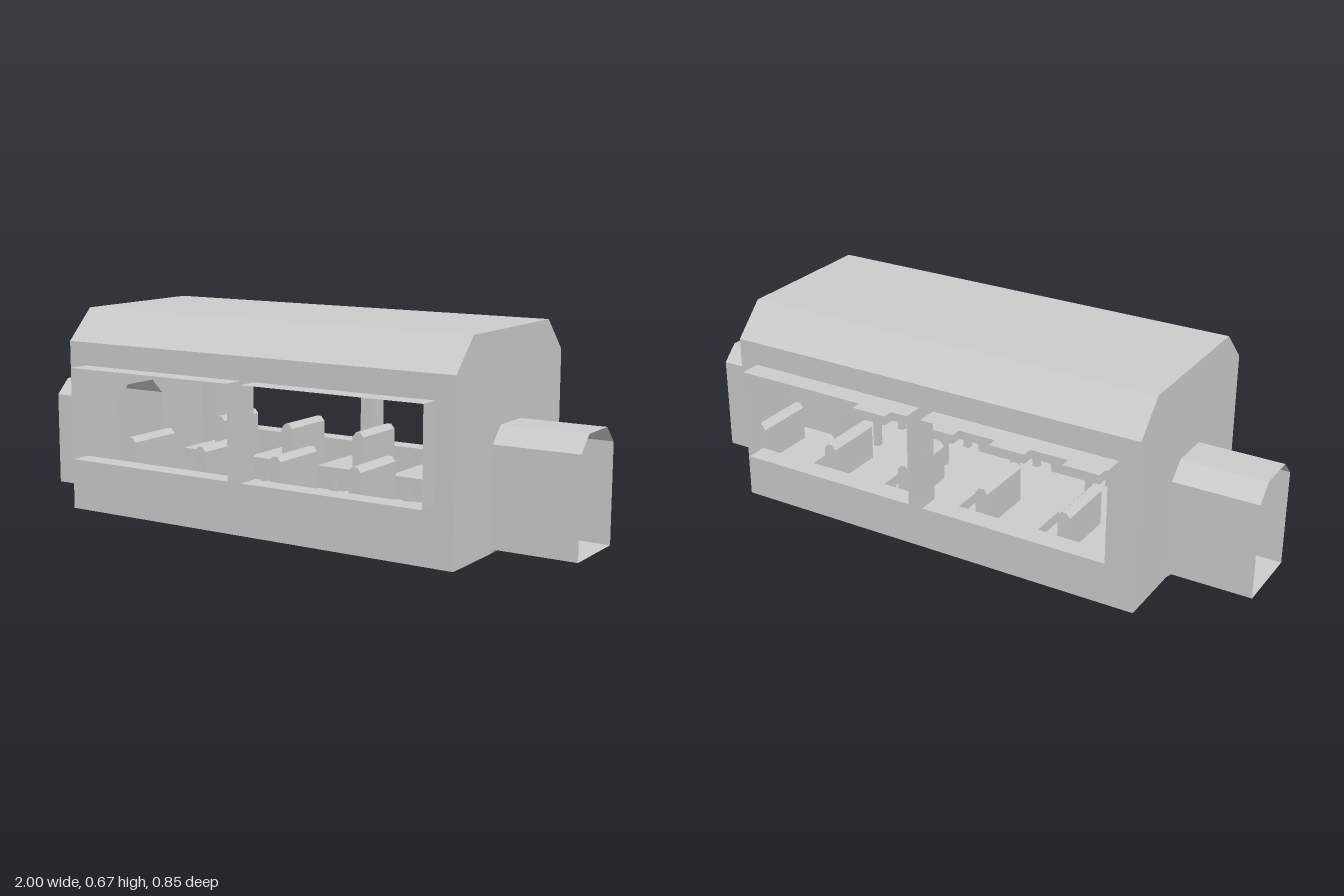
import * as THREE from 'three';

const skin = new THREE.MeshStandardMaterial({ color: 0xcccccc, flatShading: true, side: THREE.DoubleSide });
const solid = new THREE.MeshStandardMaterial({ color: 0xcccccc, flatShading: true });

const LEN = 0.72, HALF = 0.355, EAVE = 0.567, ROOF = 0.67, ROOF_HALF = 0.253;
const WINDOWS = [[-0.655, -0.025], [0.025, 0.655]];
const SILL = 0.187, HEAD = 0.49, FRAME = 0.425;

function add(parent, name, geometry, material = skin) {
  const mesh = new THREE.Mesh(geometry, material);
  mesh.name = name;
  parent.add(mesh);
  return mesh;
}

// Flat-sided surface joining a row of matching cross-sections
function loft(sections, closed) {
  const pos = [];
  for (let s = 0; s < sections.length - 1; s++) {
    const a = sections[s], b = sections[s + 1], n = a.length;
    for (let i = 0; i < (closed ? n : n - 1); i++) {
      const j = (i + 1) % n;
      pos.push(...a[i], ...b[i], ...b[j], ...a[i], ...b[j], ...a[j]);
    }
  }
  const g = new THREE.BufferGeometry();
  g.setAttribute('position', new THREE.Float32BufferAttribute(pos, 3));
  g.computeVertexNormals();
  return g;
}

const rect = (x0, x1, y0, y1) => [[x0, y0], [x1, y0], [x1, y1], [x0, y1]];
const toPoints = (pts) => pts.map(([x, y]) => new THREE.Vector2(x, y));

// Flat panel with holes cut through it
function panel(outline, holes = []) {
  const shape = new THREE.Shape(toPoints(outline));
  for (const h of holes) shape.holes.push(new THREE.Path(toPoints(h)));
  return new THREE.ShapeGeometry(shape);
}

// Passage cross-section as [z, y], with chamfered upper corners
const arch = (floor) => [
  [-0.12, floor], [0.12, floor], [0.12, 0.333], [0.067, 0.385], [-0.067, 0.385], [-0.12, 0.333],
];

function createBody() {
  const body = new THREE.Group();
  body.name = 'body';

  // Roof with sloping shoulders
  const roofLine = [[HALF, EAVE], [ROOF_HALF, ROOF], [-ROOF_HALF, ROOF], [-HALF, EAVE]];
  add(body, 'roof', loft([-LEN, LEN].map((x) => roofLine.map(([z, y]) => [x, y, z])), false));

  // Floor
  add(body, 'floor', panel(rect(-LEN, LEN, -HALF, HALF)).rotateX(Math.PI / 2));

  // Side walls and projecting window frames
  for (const side of [1, -1]) {
    const openings = WINDOWS.map(([a, b]) => rect(a, b, SILL, HEAD));
    const wall = add(body, 'sideWall', panel(rect(-LEN, LEN, 0, EAVE), openings));
    wall.rotation.y = side > 0 ? 0 : Math.PI;
    wall.position.z = side * HALF;
    for (const o of openings) {
      const rings = [HALF, FRAME].map((z) => o.map(([x, y]) => [x, y, side * z]));
      if (side > 0) rings.reverse();
      add(body, 'windowFrame', loft(rings, true));
    }
  }

  // End walls with doorways, and the open passages beyond them
  const outline = [[-HALF, 0], [HALF, 0], [HALF, EAVE], [ROOF_HALF, ROOF], [-ROOF_HALF, ROOF], [-HALF, EAVE]];
  for (const end of [1, -1]) {
    const wall = add(body, 'endWall', panel(outline, [arch(0.001)]));
    wall.rotation.y = end * Math.PI / 2;
    wall.position.x = end * LEN;
    const rings = [[LEN, 0], [0.735, 0.015], [1, 0.015]]
      .map(([x, f]) => arch(f).map(([z, y]) => [end * x, y, z]));
    if (end > 0) rings.reverse();
    add(body, 'passage', loft(rings, true));
  }
  return body;
}

// Seat: chamfered backrest, cushion and slim legs
function createSeat(side) {
  const seat = new THREE.Group();
  seat.name = 'seat';
  const z0 = 0.14, z1 = 0.345, depth = z1 - z0, mid = side * (z0 + z1) / 2;

  const back = new THREE.Shape(toPoints([
    [0, 0.1], [0.042, 0.1], [0.042, 0.25], [0.029, 0.265], [0.013, 0.265], [0, 0.25],
  ]));
  const backrest = new THREE.ExtrudeGeometry(back, { depth, bevelEnabled: false });
  add(seat, 'backrest', backrest.translate(0, 0, mid - depth / 2), solid);

  add(seat, 'cushion', new THREE.BoxGeometry(0.14, 0.035, depth).translate(-0.07, 0.1175, mid), solid);

  for (const z of [0.165, 0.32]) {
    add(seat, 'leg', new THREE.BoxGeometry(0.022, 0.1, 0.022).translate(-0.09, 0.05, side * z), solid);
  }
  return seat;
}

export function createModel() {
  const model = new THREE.Group();
  model.name = 'carriage';
  model.add(createBody());

  // Two rows of five seats either side of the aisle
  for (const side of [1, -1]) {
    for (let i = 0; i < 5; i++) {
      const seat = createSeat(side);
      seat.position.x = -0.498 + i * 0.2865;
      model.add(seat);
    }
  }
  return model;
}
